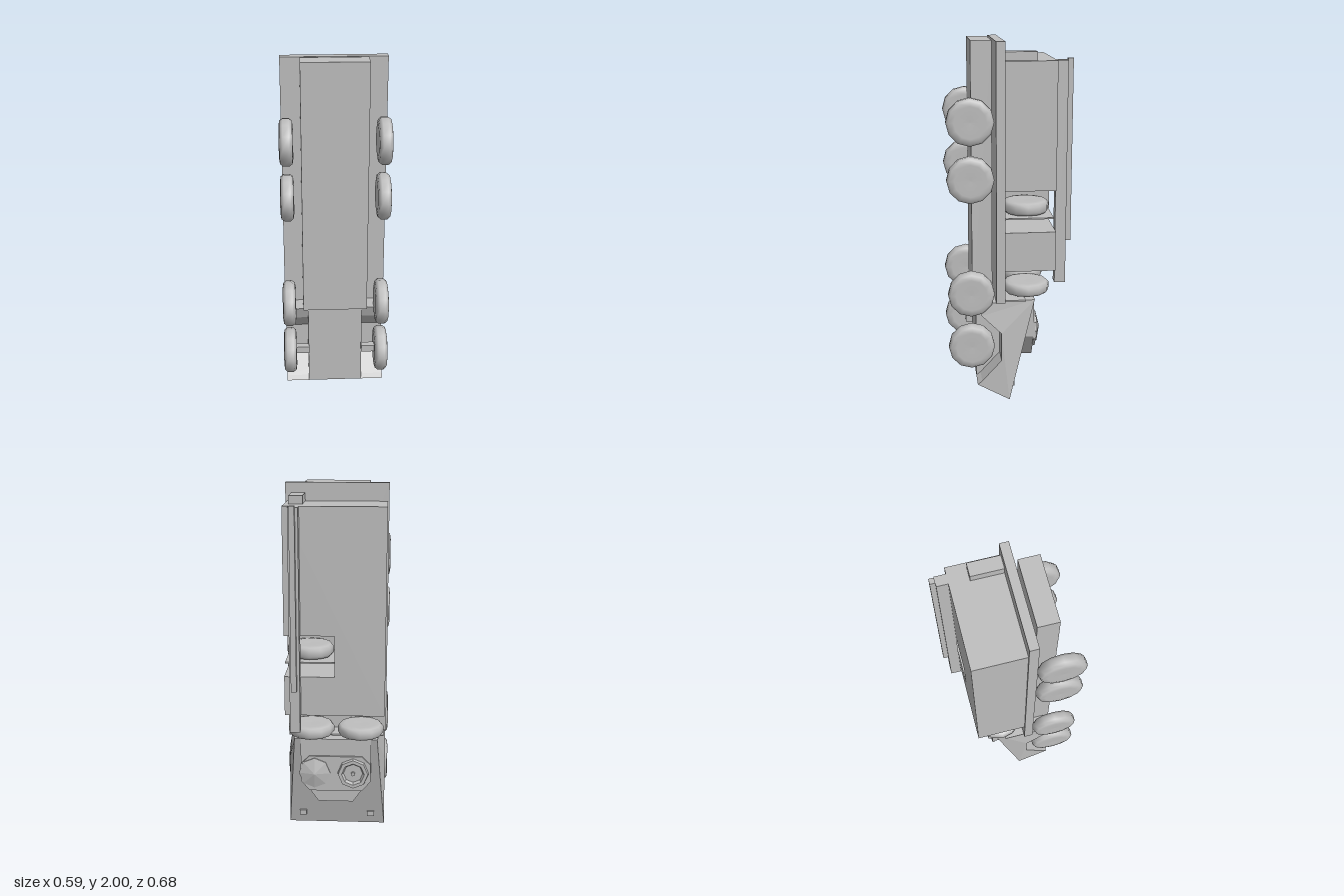
import * as THREE from 'three';

export function createModel() {
  const group = new THREE.Group();
  const grey = new THREE.MeshStandardMaterial({ color: 0xbebebe });
  grey.name = 'grey';

  const add = (name, geometry) => {
    const mesh = new THREE.Mesh(geometry, grey);
    mesh.name = name;
    group.add(mesh);
    return mesh;
  };
  const box = (name, x0, x1, y0, y1, z0, z1) =>
    add(name, new THREE.BoxGeometry(x1 - x0, y1 - y0, z1 - z0)
      .translate((x0 + x1) / 2, (y0 + y1) / 2, (z0 + z1) / 2));
  const faceted = (g) => {
    const flat = g.index ? g.toNonIndexed() : g;
    flat.computeVertexNormals();
    return flat;
  };
  const shape = (pts) => new THREE.Shape(pts.map(([x, y]) => new THREE.Vector2(x, y)));
  const lathe = (pts, sides) =>
    new THREE.LatheGeometry(pts.map(([x, y]) => new THREE.Vector2(x, y)), sides);
  // Side profile given as [z, y], extruded across x
  const acrossX = (pts, half) =>
    new THREE.ExtrudeGeometry(shape(pts.map(([z, y]) => [-z, y])), { depth: 2 * half, bevelEnabled: false })
      .translate(0, 0, -half).rotateY(Math.PI / 2);

  // Chassis and load bed
  box('chassis', -0.18, 0.18, 0.58, 2, 0.088, 0.2);
  box('bedPlatform', -0.284, 0.284, 0.58, 2, 0.024, 0.073);

  // Body with a spare wheel bay cut into one side
  add('body', new THREE.ExtrudeGeometry(shape([
    [-0.275, 0.76], [0.275, 0.76], [0.275, 0.98], [0, 0.98],
    [0, 1.21], [0.275, 1.21], [0.275, 1.9], [-0.275, 1.9],
  ]), { depth: 0.276, bevelEnabled: false }).translate(0, 0, -0.252));
  box('rearBox', 0.175, 0.25, 1.9, 1.945, -0.147, 0.024);
  box('roofRail', 0.185, 0.24, 0.68, 1.9, -0.312, -0.252);
  box('roofTube', 0.2, 0.23, 0.92, 1.91, -0.34, -0.312);

  // Cab sides with wheel arches, narrowing toward the roof
  const cab = acrossX([
    [0.18, 0.1], [0, 0], [-0.145, 0.58], [0.18, 0.58], [0.155, 0.51],
    [0.045, 0.4], [0.045, 0.24], [0.155, 0.12],
  ], 0.28);
  const p = cab.attributes.position;
  for (let i = 0; i < p.count; i++) if (p.getZ(i) < -0.1) p.setX(i, p.getX(i) * 0.84);
  add('cab', faceted(cab));
  add('cabCore', acrossX([[0.18, 0.1], [0.02, 0.02], [0, 0.1], [0, 0.58], [0.18, 0.58]], 0.153));

  // Raised hatch base, tapering toward the nose
  add('hatchBase', new THREE.ExtrudeGeometry(shape([
    [-0.1, 0.2], [0.1, 0.2], [0.2, 0.345], [0.2, 0.58], [-0.2, 0.58], [-0.2, 0.345],
  ]), { depth: 0.12, bevelEnabled: false }).translate(0, 0, -0.145));
  add('hatchPlate', new THREE.ExtrudeGeometry(shape([
    [-0.15, 0.27], [0.15, 0.27], [0.2, 0.33], [0.2, 0.43],
    [0.15, 0.48], [-0.15, 0.48], [-0.2, 0.43], [-0.2, 0.33],
  ]), { depth: 0.015, bevelEnabled: false }).translate(0, 0, -0.157));

  // Closed hatch, open hatch and its knob, facing the roof side
  const hatch = (name, x, pts, sides) =>
    add(name, faceted(lathe(pts, sides).rotateX(-Math.PI / 2))).position.set(x, 0.38, -0.155);
  hatch('closedHatch', 0.12, [[0.09, 0], [0.09, 0.008], [0, 0.03]], 8);
  hatch('openHatch', -0.1, [[0.09, 0], [0.085, 0.022], [0.065, 0.022], [0.055, 0.003], [0, 0.003]], 8);
  hatch('hatchKnob', -0.1, [[0.012, 0], [0.012, 0.018], [0, 0.018]], 6);

  // Tyres: smooth, low-sided lathes
  const tyre = (r, w) => lathe([
    [0, -w * 0.9], [r * 0.68, -w], [r * 0.9, -w * 0.88], [r, -w * 0.45],
    [r, w * 0.45], [r * 0.9, w * 0.88], [r * 0.68, w], [0, w * 0.9],
  ], 12);
  const roadWheel = tyre(0.128, 0.037).rotateZ(Math.PI / 2);
  for (const side of [-1, 1]) {
    for (const y of [0.33, 0.635, 1.275, 1.585]) {
      add('wheel', roadWheel).position.set(side * 0.258, y, 0.21);
    }
    // Front axle stub and nose lamp
    const [a, b] = side > 0 ? [0.15, 0.23] : [-0.23, -0.15];
    box('axleStub', a, b, 0.31, 0.35, 0.18, 0.22);
    const lamp = box('noseLamp', -0.02, 0.02, -0.015, 0.015, -0.015, 0.015);
    lamp.position.set(side * 0.2, 0.07, -0.018);
    // Spare wheels behind the cab
    add('spareWheel', tyre(0.13, 0.035)).position.set(side * 0.14, 0.635, -0.105);
  }
  box('spareShelf', -0.27, 0.27, 0.584, 0.592, -0.09, 0.03);

  // Side bay spare wheel on its shelf
  add('baySpareWheel', tyre(0.128, 0.037)).position.set(0.14, 1.1, -0.1);
  box('bayShelf', 0, 0.27, 1.052, 1.06, -0.24, 0.024);

  return group;
}
